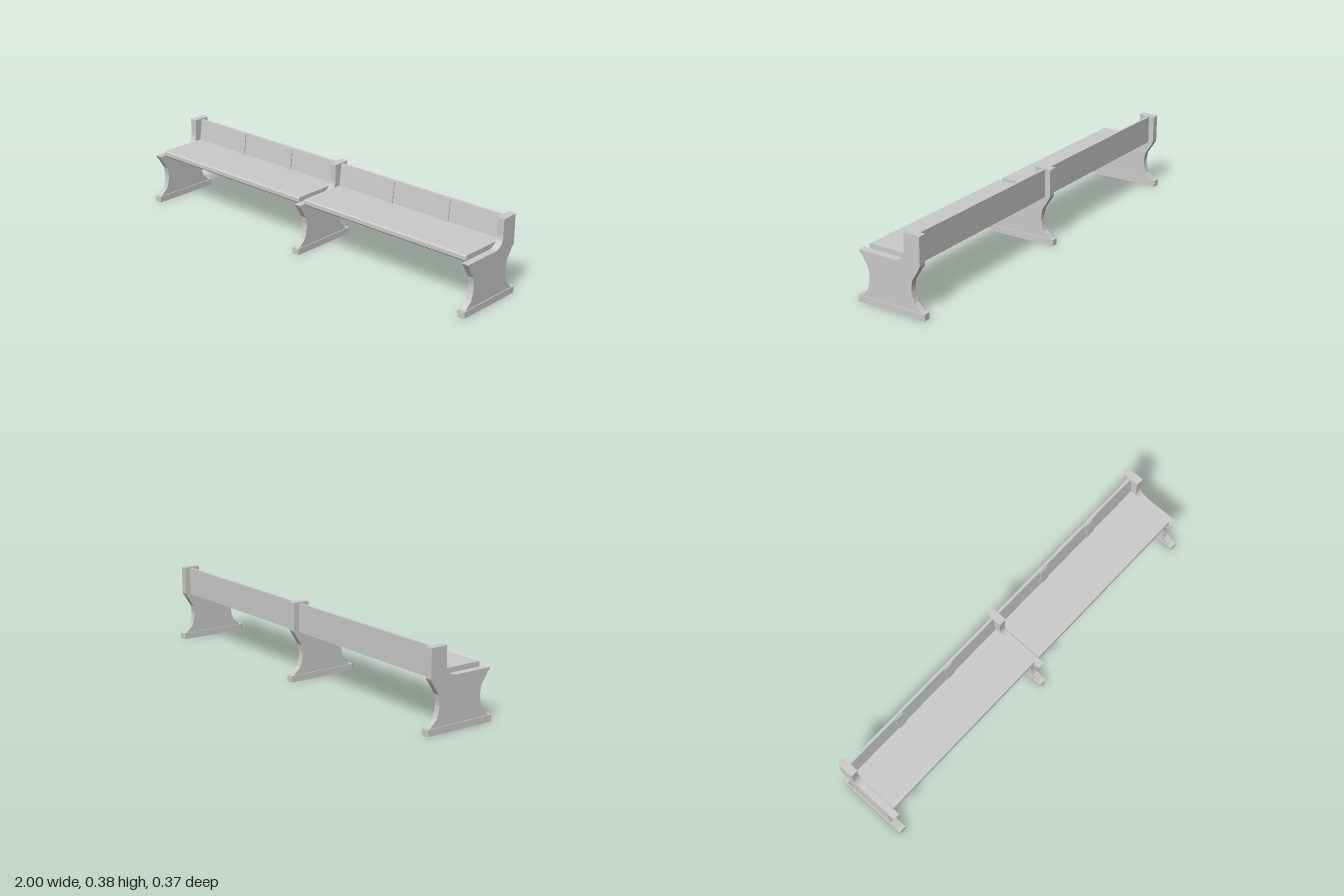
import * as THREE from 'three';

const mat = new THREE.MeshStandardMaterial({ color: 0xcccccc, flatShading: true });
const smoothMat = new THREE.MeshStandardMaterial({ color: 0xcccccc });

function add(parent, name, geometry, material = mat) {
  const mesh = new THREE.Mesh(geometry, material);
  mesh.name = name;
  parent.add(mesh);
  return mesh;
}

// Extrude a side profile, drawn as (z, y), along x and centre it on x = 0
function extrudeX(shape, width) {
  const g = new THREE.ExtrudeGeometry(shape, { depth: width, bevelEnabled: false, curveSegments: 8 });
  g.translate(0, 0, -width / 2);
  g.rotateY(-Math.PI / 2); // shape x -> +z, depth -> -x
  return g;
}

const polygon = (pts) => new THREE.Shape(pts.map(([a, b]) => new THREE.Vector2(a, b)));

// Flat slab with chamfered vertical corners
function chamferedSlab(w, h, d, c) {
  const x = w / 2, z = d / 2;
  const s = polygon([[-x + c, -z], [x - c, -z], [x, -z + c], [x, z - c],
    [x - c, z], [-x + c, z], [-x, z - c], [-x, -z + c]]);
  const g = new THREE.ExtrudeGeometry(s, { depth: h, bevelEnabled: false });
  g.rotateX(-Math.PI / 2);
  return g;
}

function createSupport() {
  const support = new THREE.Group();

  add(support, 'foot', chamferedSlab(0.038, 0.031, 0.366, 0.005));

  // Waisted leg, symmetric front to back
  const side = [[0.165, 0.031], [0.128, 0.066], [0.119, 0.092], [0.114, 0.12],
    [0.114, 0.138], [0.12, 0.172], [0.158, 0.232]];
  const mirrored = side.map(([z, y]) => [-z, y]).reverse();
  add(support, 'leg', extrudeX(polygon([...side, ...mirrored]), 0.029));

  // Seat rail sweeping up into the back post
  const arm = new THREE.Shape();
  arm.moveTo(-0.158, 0.232);
  arm.lineTo(0.158, 0.232);
  arm.lineTo(0.166, 0.246);
  arm.lineTo(-0.03, 0.246);
  arm.bezierCurveTo(-0.06, 0.248, -0.082, 0.27, -0.082, 0.305);
  arm.lineTo(-0.082, 0.378);
  arm.lineTo(-0.165, 0.378);
  arm.lineTo(-0.165, 0.246);
  arm.closePath();
  add(support, 'railAndPost', extrudeX(arm, 0.035));

  add(support, 'postCap', chamferedSlab(0.039, 0.005, 0.091, 0.005)).position.set(0, 0.378, -0.1245);
  return support;
}

function createBay() {
  const bay = new THREE.Group();
  const length = 0.948;

  // Seat board with a rounded upper front edge
  const seat = new THREE.Shape();
  seat.moveTo(-0.137, 0.24);
  seat.lineTo(0.13, 0.24);
  seat.lineTo(0.135, 0.246);
  seat.lineTo(0.135, 0.261);
  seat.quadraticCurveTo(0.135, 0.27, 0.126, 0.27);
  seat.lineTo(-0.137, 0.27);
  seat.closePath();
  add(bay, 'seat', extrudeX(seat, length), smoothMat);

  // Backrest with a slightly raked front face
  add(bay, 'backrest', extrudeX(polygon([[-0.137, 0.24], [-0.106, 0.24],
    [-0.124, 0.378], [-0.137, 0.378]]), length));

  // Thin battens on the backrest
  for (const x of [-0.163, 0.163]) {
    const batten = extrudeX(polygon([[-0.125, 0.27], [-0.105, 0.27],
      [-0.118, 0.373], [-0.13, 0.373]]), 0.048);
    add(bay, 'backBatten', batten).position.x = x;
  }
  return bay;
}

export function createModel() {
  const model = new THREE.Group();
  model.name = 'bench';
  for (const x of [-0.981, 0, 0.981]) {
    const support = createSupport();
    support.name = 'support';
    support.position.x = x;
    model.add(support);
  }
  for (const x of [-0.4905, 0.4905]) {
    const bay = createBay();
    bay.name = 'benchBay';
    bay.position.x = x;
    model.add(bay);
  }
  return model;
}
